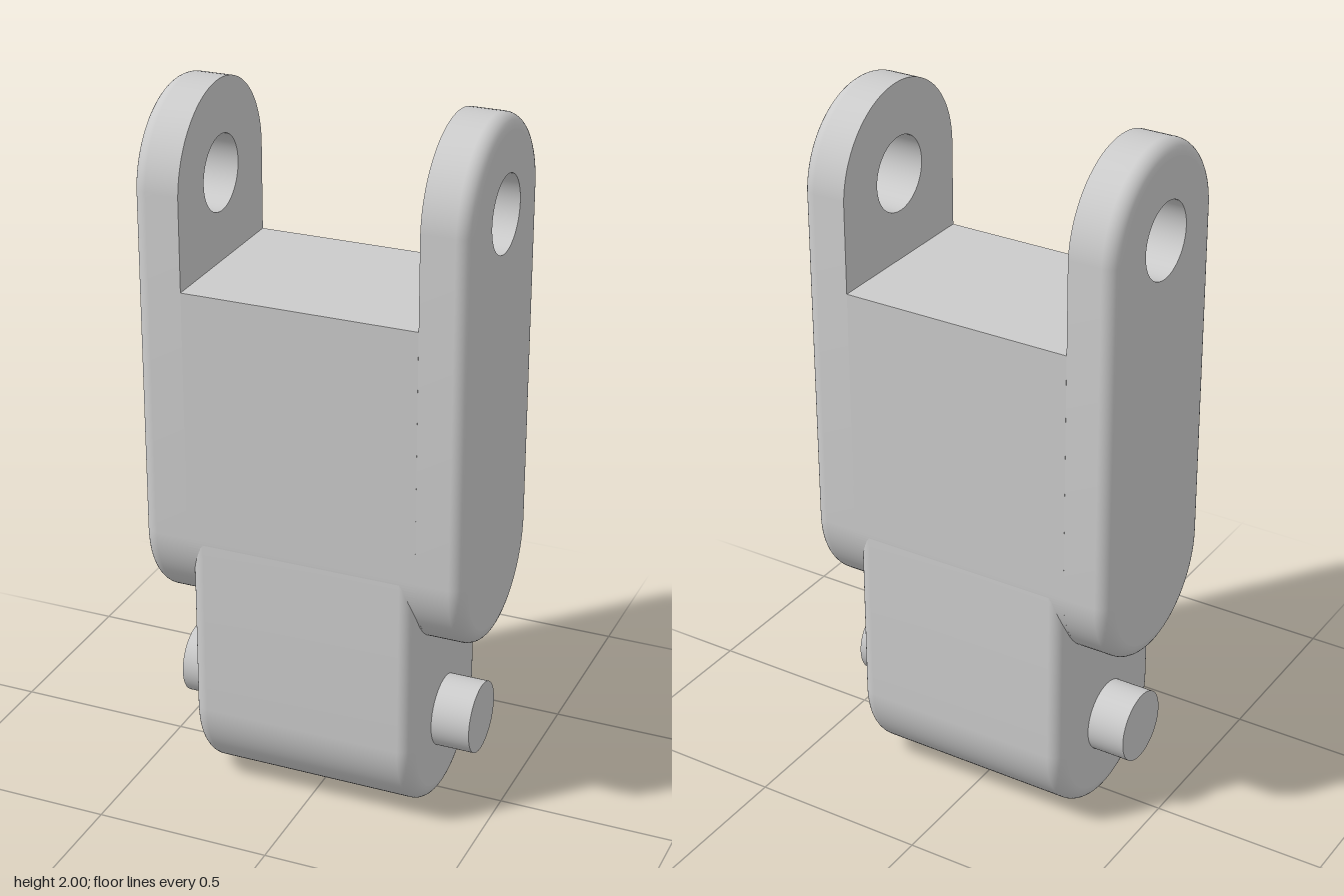
import * as THREE from 'three';

const R = 0.256;      // half depth of every rounded-end body
const FILLET = 0.04;  // rounded edge radius

const material = new THREE.MeshStandardMaterial({ color: 0xcccccc });

function part(name, geometry) {
  const mesh = new THREE.Mesh(geometry, material);
  mesh.name = name;
  return mesh;
}

// Turns a [radius, x] profile about the x axis, then stretches it upwards from y0 to y1
function stretchedLathe(profile, y0, y1 = y0) {
  const points = profile.map(([r, x]) => new THREE.Vector2(r, x));
  const g = new THREE.LatheGeometry(points, 96).rotateZ(-Math.PI / 2);
  const p = g.attributes.position;
  for (let i = 0; i < p.count; i++) {
    p.setY(i, p.getY(i) + (p.getY(i) > 1e-5 ? y1 : y0));
  }
  return g;
}

// Quarter-round edge ending at x = end
function edge(end) {
  const out = [];
  for (let i = 0; i <= 8; i++) {
    const a = (i / 8) * Math.PI / 2;
    out.push([R - FILLET + FILLET * Math.cos(a), end - FILLET + FILLET * Math.sin(a)]);
  }
  return out;
}

// Flat rounded-end outline, optionally pierced
function stadium(r, y0, y1, holeRadius = 0) {
  const s = new THREE.Shape();
  s.absarc(0, y1, r, 0, Math.PI, false);
  s.absarc(0, y0, r, Math.PI, Math.PI * 2, false);
  s.closePath();
  if (holeRadius) s.holes.push(new THREE.Path().absarc(0, y1, holeRadius, 0, Math.PI * 2, true));
  return s;
}

function cap(shape, x, dir) {
  return new THREE.ShapeGeometry(shape, 48).rotateY(dir * Math.PI / 2).translate(x, 0, 0);
}

// Side plate: sharp inside edge, rounded outside edge, round eye at the top
function sidePlate(name) {
  const inner = 0.33, outer = 0.463, y0 = 0.784, y1 = 1.744, hole = 0.105;
  const g = new THREE.Group();
  g.name = name;
  g.add(
    part('plateRim', stretchedLathe([[R, inner], ...edge(outer)], y0, y1)),
    part('plateOuterFace', cap(stadium(R - FILLET, y0, y1, hole), outer, 1)),
    part('plateInnerFace', cap(stadium(R, y0, y1, hole), inner, -1)),
    part('plateEye', stretchedLathe([[hole, outer], [hole, inner]], y1))
  );
  return g;
}

// Lower tongue: rounded on both side edges, its top hidden in the block
function tongue() {
  const half = 0.325, y0 = R, y1 = 1.1;
  const right = edge(half);
  const left = right.map(([r, x]) => [r, -x]).reverse();
  const g = new THREE.Group();
  g.name = 'tongue';
  g.add(part('tongueRim', stretchedLathe([...left, ...right], y0, y1)));
  for (const s of [-1, 1]) {
    g.add(part('tongueFace', cap(stadium(R - FILLET, y0, y1), s * half, s)));
  }
  return g;
}

// Middle block between the plates: flat top, round underside
function block() {
  const s = new THREE.Shape();
  s.moveTo(R, 1.5);
  s.lineTo(-R, 1.5);
  s.absarc(0, 0.784, R, Math.PI, Math.PI * 2, false);
  s.closePath();
  const g = new THREE.ExtrudeGeometry(s, { depth: 0.66, bevelEnabled: false, curveSegments: 48 });
  return part('middleBlock', g.translate(0, 0, -0.33).rotateY(Math.PI / 2));
}

export function createModel() {
  const model = new THREE.Group();
  model.name = 'chainLink';

  const leftPlate = sidePlate('leftPlate');
  const rightPlate = sidePlate('rightPlate');
  rightPlate.rotation.y = Math.PI;

  // Hinge pin through the tongue
  const pin = part('hingePin', new THREE.CylinderGeometry(0.102, 0.102, 0.87, 64).rotateZ(Math.PI / 2));
  pin.position.y = 0.26;

  model.add(leftPlate, rightPlate, block(), tongue(), pin);
  return model;
}
